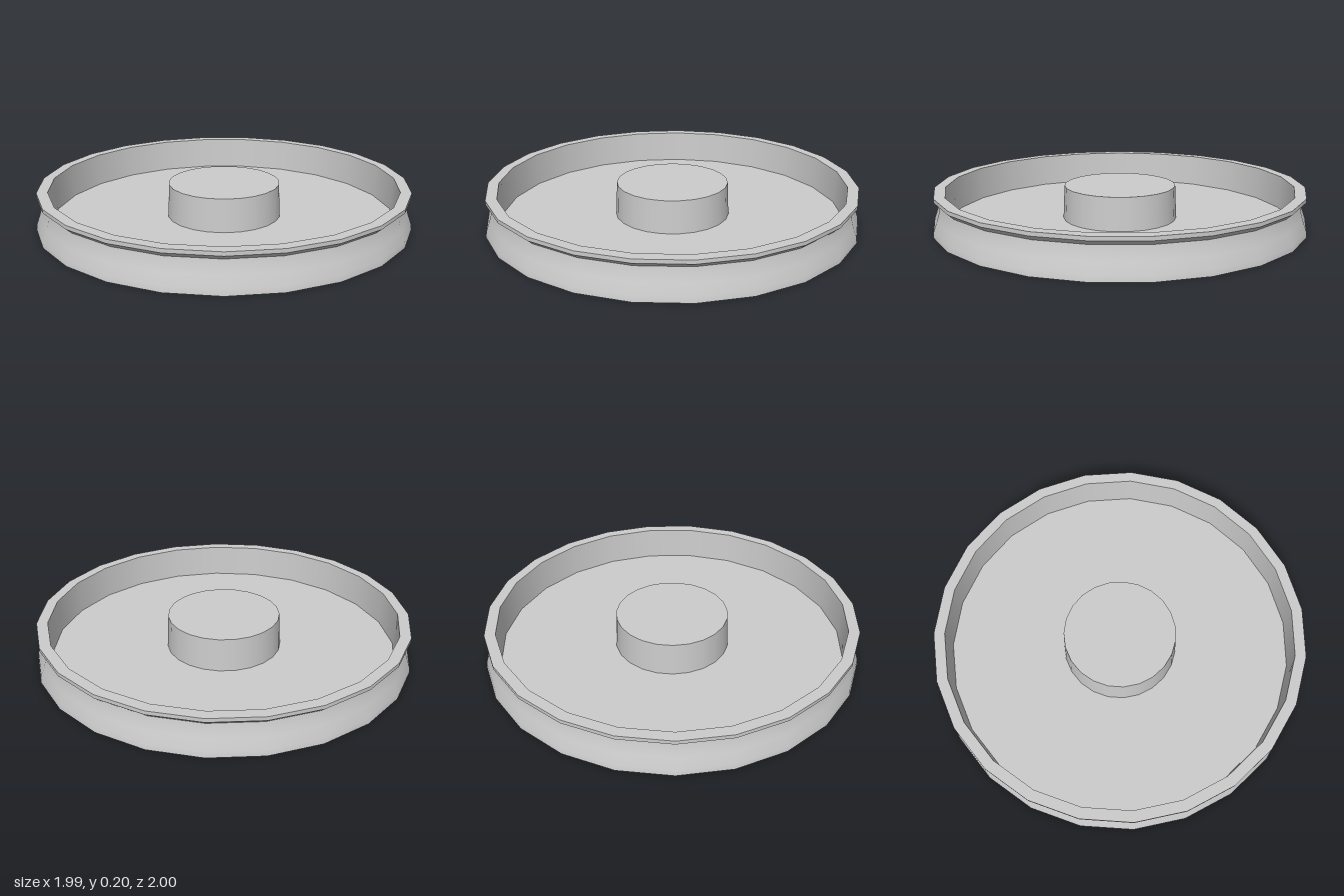
import * as THREE from 'three';

const SIDES = 23;

export function createModel() {
  const group = new THREE.Group();
  const material = new THREE.MeshStandardMaterial({ color: 0xcccccc });

  // Revolve one smooth run of [radius, height] points; creases lie between runs.
  const ring = (name, points) => {
    const profile = points.map(([r, y]) => new THREE.Vector2(r, y));
    const mesh = new THREE.Mesh(new THREE.LatheGeometry(profile, SIDES, Math.PI / 2), material);
    mesh.name = name;
    group.add(mesh);
  };

  // Tray body, from the underside out and up over the rim, then down inside
  ring('underside', [[0, 0], [1.002, 0]]);
  ring('outerWall', [[1.002, 0], [0.998, 0.03], [0.978, 0.085], [0.966, 0.125], [0.961, 0.155]]);
  ring('rimUnderside', [[0.961, 0.155], [0.99, 0.18]]);
  ring('rimEdge', [[0.99, 0.18], [0.99, 0.2]]);
  ring('rimTop', [[0.99, 0.2], [0.932, 0.2]]);
  ring('innerWall', [[0.932, 0.2], [0.922, 0.022]]);
  ring('floor', [[0.922, 0.022], [0.307, 0.022]]);

  // Slightly tapered central hub
  ring('hubWall', [[0.307, 0.022], [0.299, 0.2]]);
  ring('hubTop', [[0.299, 0.2], [0, 0.2]]);

  // An odd number of sides reaches further on +x, so centre the outline
  group.children.forEach((mesh) => { mesh.position.x = -0.005; });
  return group;
}
